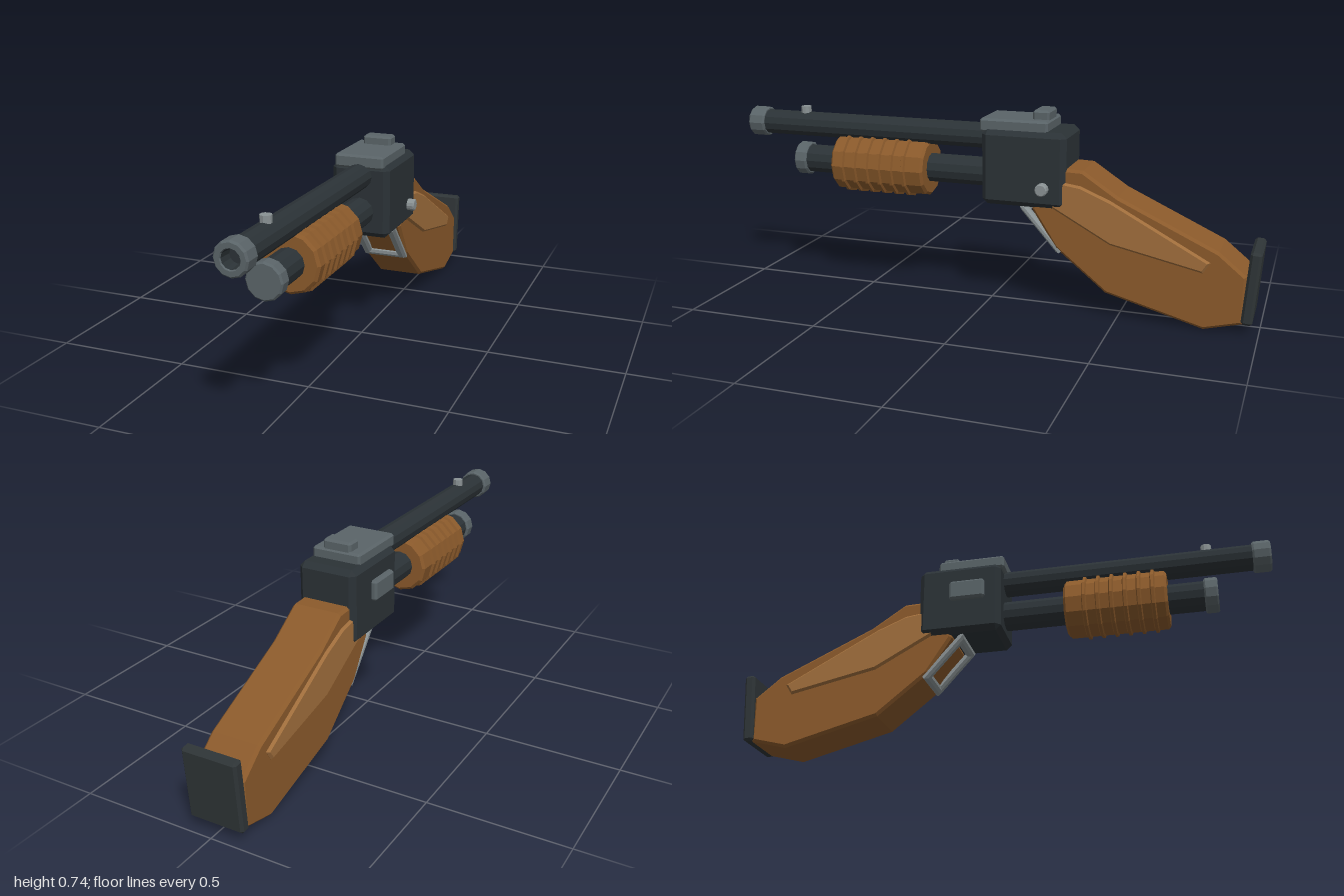
import * as THREE from 'three';
import { ConvexGeometry } from 'three/addons/geometries/ConvexGeometry.js';

const mat = (color) => new THREE.MeshStandardMaterial({ color, flatShading: true });
const CX = -0.005; // centre line of the gun

export function createModel() {
  const group = new THREE.Group();
  const dark = mat(0x2b3236), steel = mat(0x5a6468), bright = mat(0x8a9294);
  const wood = mat(0x8b5a2b), paleWood = mat(0xa06e3c), rubber = mat(0x2f3537);

  const add = (name, geometry, material, x = 0, y = 0, z = 0) => {
    const mesh = new THREE.Mesh(geometry, material);
    mesh.name = name;
    mesh.position.set(x, y, z);
    group.add(mesh);
    return mesh;
  };

  // Box with every edge and corner cut by c
  const chamferBox = (w, h, d, c) => {
    const pts = [];
    for (const sx of [-1, 1]) for (const sy of [-1, 1]) for (const sz of [-1, 1]) {
      for (let axis = 0; axis < 3; axis++) {
        const cut = [c, c, c];
        cut[axis] = 0;
        pts.push(new THREE.Vector3(sx * (w / 2 - cut[0]), sy * (h / 2 - cut[1]), sz * (d / 2 - cut[2])));
      }
    }
    return new ConvexGeometry(pts);
  };

  // Twelve-sided turned part along z; profile is [radius, z] from back to front
  const turned = (profile) => new THREE.LatheGeometry(
    profile.map(([r, z]) => new THREE.Vector2(r, z)), 12).rotateX(Math.PI / 2);
  const rod = (r, z0, z1, c = 0.006) => turned(
    [[0, z0], [r - c, z0], [r, z0 + c], [r, z1 - c], [r - c, z1], [0, z1]]);

  // Side outline of [z, y] points, extruded across x with a chamfered rim
  const sideSlab = (outline, width, bevel) => {
    const shape = new THREE.Shape(outline.map(([z, y]) => new THREE.Vector2(-z, y)));
    return new THREE.ExtrudeGeometry(shape, {
      depth: width - 2 * bevel, bevelEnabled: true, bevelSegments: 1,
      bevelSize: bevel, bevelThickness: bevel, bevelOffset: -bevel,
    }).translate(0, 0, -(width - 2 * bevel) / 2).rotateY(Math.PI / 2);
  };

  // Receiver and its fittings
  add('receiver', chamferBox(0.224, 0.277, 0.315, 0.02), dark, CX, 0.532, -0.149);
  add('topPlate', chamferBox(0.188, 0.05, 0.255, 0.008), steel, CX, 0.682, -0.108);
  add('rearSight', chamferBox(0.11, 0.045, 0.062, 0.008), steel, CX, 0.717, -0.199);
  add('ejectionPort', chamferBox(0.03, 0.076, 0.135, 0.008), steel, -0.122, 0.56, -0.117);
  add('crossBolt', rod(0.023, -0.02, 0.035, 0.004).rotateY(Math.PI / 2), bright, 0.1, 0.468, -0.225);

  // Barrel, muzzle and front sight
  add('barrel', rod(0.048, -0.05, 0.945), dark, CX, 0.627);
  add('muzzle', turned([[0.04, 0.933], [0.053, 0.933], [0.058, 0.94], [0.058, 0.993],
    [0.052, 1], [0.035, 1], [0.032, 0.995]]), steel, CX, 0.627);
  add('bore', turned([[0.032, 0.995], [0.028, 0.95], [0, 0.95]]), dark, CX, 0.627);
  add('frontSight', new THREE.CylinderGeometry(0.02, 0.02, 0.04, 10), bright, CX, 0.676, 0.77);

  // Magazine tube
  add('magazineTube', rod(0.055, -0.05, 0.76), dark, CX, 0.49);
  add('magazineCap', rod(0.065, 0.75, 0.8), steel, CX, 0.49);

  // Ribbed fore-end
  const foreEnd = [[0.04, 0.243], [0.098, 0.243], [0.108, 0.252]];
  for (let i = 0; i < 6; i++) {
    const z = 0.32 + i * 0.05;
    foreEnd.push([0.108, z - 0.009], [0.117, z - 0.005], [0.117, z + 0.005], [0.108, z + 0.009]);
  }
  foreEnd.push([0.108, 0.611], [0.098, 0.62], [0.04, 0.62]);
  add('foreEnd', turned(foreEnd), wood, CX, 0.49);

  // Stock with a raised panel on each side
  add('stock', sideSlab([[-0.2, 0.545], [-0.366, 0.54], [-0.495, 0.455], [-0.853, 0.289],
    [-0.95, 0.21], [-0.945, 0.037], [-0.81, 0.002], [-0.457, 0.096], [-0.27, 0.246],
    [-0.18, 0.385]], 0.188, 0.01), wood, CX);
  const panel = [[-0.25, 0.5], [-0.36, 0.485], [-0.47, 0.44], [-0.825, 0.25],
    [-0.8, 0.21], [-0.47, 0.28], [-0.25, 0.4]];
  for (const [side, s] of [['left', 1], ['right', -1]]) {
    add(side + 'StockPanel', sideSlab(panel, 0.03, 0.008), paleWood, CX + s * 0.088);
  }

  // Butt plate, leaning slightly back at the top
  const butt = add('buttPlate', chamferBox(0.206, 0.265, 0.04, 0.009), rubber, CX, 0.17, -0.967);
  butt.rotation.x = -0.075;

  // Slanted trigger guard frame
  const rect = (path, w, h) => path.moveTo(-w, -h).lineTo(w, -h).lineTo(w, h).lineTo(-w, h).closePath();
  const frame = rect(new THREE.Shape(), 0.079, 0.1);
  frame.holes.push(rect(new THREE.Path(), 0.063, 0.087));
  const guard = add('triggerGuard', new THREE.ExtrudeGeometry(frame, {
    depth: 0.01, bevelEnabled: true, bevelSegments: 1, bevelSize: 0.01, bevelThickness: 0.008,
  }).translate(0, 0, -0.005), bright, CX, 0.312, -0.212);
  guard.rotation.x = 0.73;

  return group;
}
